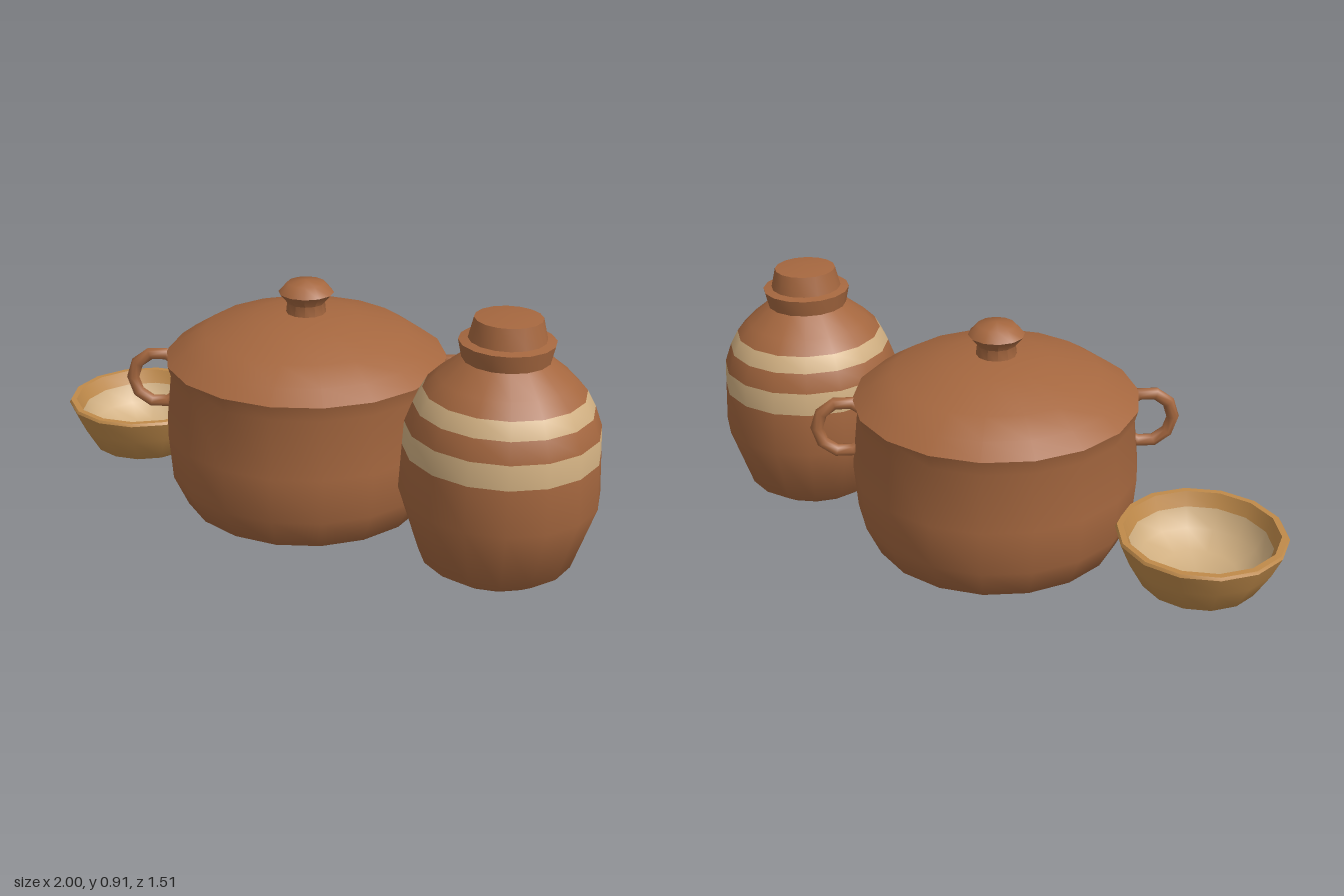
import * as THREE from 'three';
import { toCreasedNormals } from 'three/addons/utils/BufferGeometryUtils.js';

function flat(name, color) {
  const m = new THREE.MeshStandardMaterial({ color });
  m.name = name;
  return m;
}

// Lathe from [radius, height, colour index of the ring above the point] rows
function turned(name, rows, sides, materials, phiStart = 0) {
  const points = rows.map(([r, y]) => new THREE.Vector2(r, y));
  const geo = new THREE.LatheGeometry(points, sides, phiStart);
  const n = rows.length;
  const index = [];
  for (let j = 0; j < n - 1; j++) {
    geo.addGroup(index.length, sides * 6, rows[j][2] || 0);
    for (let i = 0; i < sides; i++) {
      const a = i * n + j, b = a + n;
      index.push(a, b, a + 1, b + 1, a + 1, b);
    }
  }
  geo.setIndex(index);
  const mesh = new THREE.Mesh(toCreasedNormals(geo, 0.9), materials);
  mesh.name = name;
  return mesh;
}

export function createModel() {
  const clay = flat('terracotta', 0xa5673f);
  const sand = flat('sand', 0xcfae80);
  const ochre = flat('ochre', 0xbf8a4a);

  const model = new THREE.Group();
  model.name = 'pottery';

  // Lidded cooking pot
  const pot = new THREE.Group();
  pot.name = 'cookingPot';
  pot.position.set(-0.022, 0, -0.06);
  const turn = Math.PI / 18;
  pot.add(turned('potBody', [
    [0, 0], [0.365, 0], [0.455, 0.025], [0.507, 0.14],
    [0.52, 0.31], [0.497, 0.52], [0.512, 0.575],
  ], 18, [clay], turn));
  pot.add(turned('potLid', [
    [0.49, 0.572], [0.512, 0.575], [0.45, 0.62], [0.37, 0.67],
    [0.19, 0.72], [0.08, 0.735], [0, 0.735],
  ], 18, [clay], turn));
  pot.add(turned('lidKnob', [
    [0.074, 0.72], [0.068, 0.772], [0.1, 0.81], [0.068, 0.845], [0, 0.855],
  ], 12, [clay]));

  // Ring handles on both sides
  for (const side of [1, -1]) {
    const geo = new THREE.TorusGeometry(0.098, 0.023, 8, 10);
    const handle = new THREE.Mesh(geo, clay);
    handle.name = side > 0 ? 'leftHandle' : 'rightHandle';
    handle.position.set(side * 0.545, 0.465, 0);
    if (side < 0) handle.rotation.y = Math.PI;
    pot.add(handle);
  }
  model.add(pot);

  // Tall jar with two painted bands, collar and stopper
  const jar = new THREE.Group();
  jar.name = 'jar';
  jar.position.set(0.66, 0, 0.413);
  jar.add(turned('jarBody', [
    [0, 0], [0.2, 0], [0.265, 0.045], [0.34, 0.28],
    [0.331, 0.44, 1], [0.326, 0.525], [0.3, 0.595, 1], [0.27, 0.65],
    [0.225, 0.696], [0.146, 0.76],
  ], 16, [clay, sand]));
  jar.add(turned('jarNeck', [
    [0.146, 0.755], [0.16, 0.82], [0.129, 0.826], [0.112, 0.897], [0, 0.91],
  ], 16, [clay]));
  model.add(jar);

  // Open bowl with a pale inside
  const bowl = turned('bowl', [
    [0, 0], [0.137, 0], [0.21, 0.032], [0.265, 0.13], [0.3, 0.212],
    [0.294, 0.222], [0.272, 0.222], [0.25, 0.17, 1],
    [0.215, 0.1, 1], [0.14, 0.05, 1], [0, 0.035],
  ], 14, [ochre, sand]);
  bowl.position.set(-0.705, 0, -0.458);
  model.add(bowl);

  return model;
}
